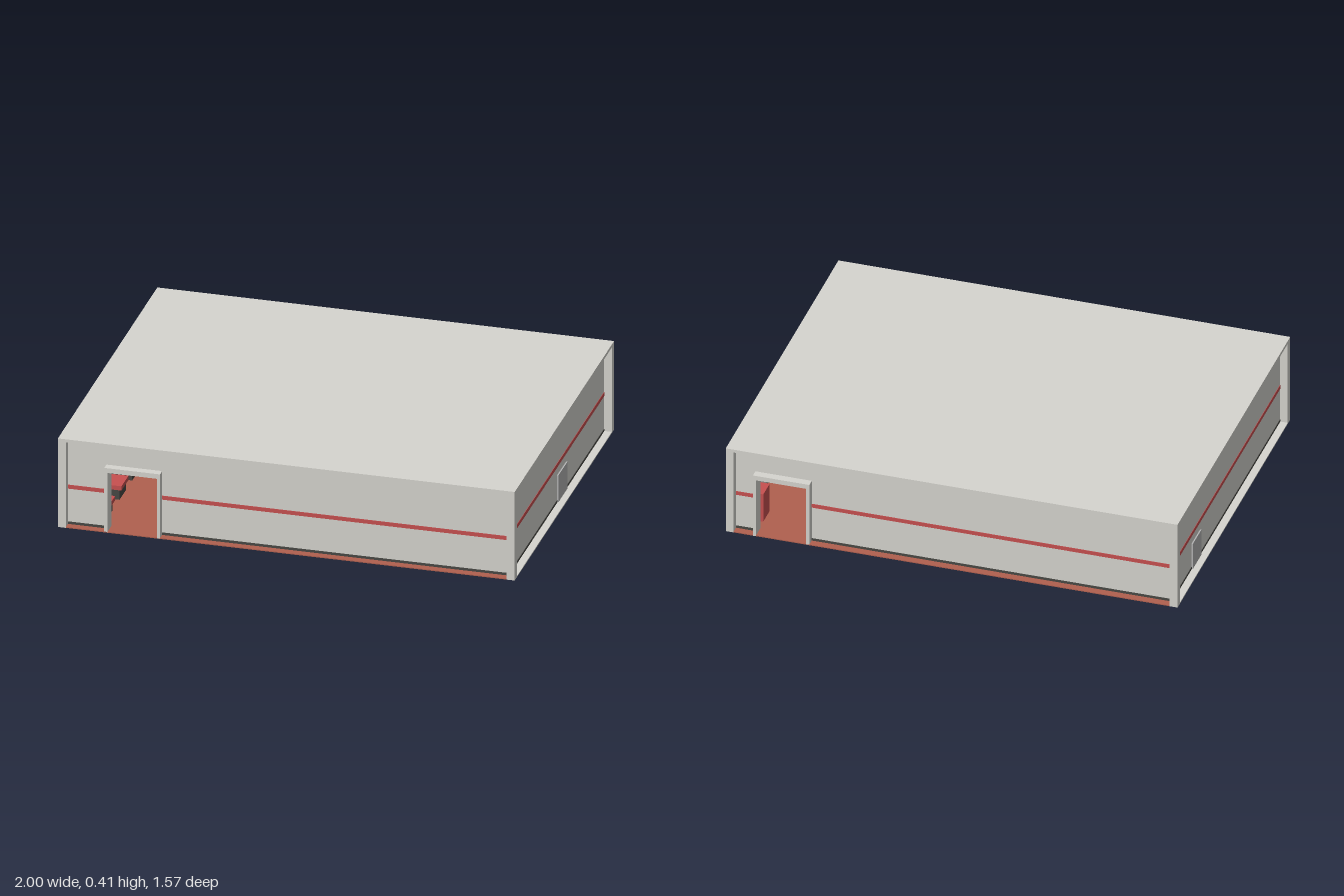
import * as THREE from 'three';

const mat = (color) => new THREE.MeshStandardMaterial({ color });

export function createModel() {
  const model = new THREE.Group();
  const wall = mat(0xd6d5cf), red = mat(0xc85050), dark = mat(0x484844);
  const grey = mat(0xb4b4b4), floorMat = mat(0xb0604f);

  // Box given by its lower and upper limits
  function box(name, m, x0, x1, y0, y1, z0, z1, parent = model) {
    const mesh = new THREE.Mesh(new THREE.BoxGeometry(x1 - x0, y1 - y0, z1 - z0), m);
    mesh.position.set((x0 + x1) / 2, (y0 + y1) / 2, (z0 + z1) / 2);
    mesh.name = name;
    parent.add(mesh);
    return mesh;
  }

  const H = 0.412, X = 1, Z = 0.783, T = 0.035;
  const xi = X - T, zi = Z - T; // recessed outer wall faces
  const e = 0.002, roofBase = H - 0.014;

  // Floor and roof slabs
  box('floor', floorMat, -xi, xi, 0, 0.004, -Z, Z);
  box('roof', wall, -X, X, roofBase, H, -Z, Z);

  // Corner posts and side sills
  for (const sx of [-1, 1]) {
    for (const sz of [-1, 1]) {
      const post = box('cornerPost', wall, -T / 2, T / 2, 0, roofBase, -T / 2, T / 2);
      post.position.x = sx * (X - T / 2);
      post.position.z = sz * (Z - T / 2);
    }
    const cx = sx * (X - T / 2);
    box('sideSill', wall, cx - T / 2, cx + T / 2, 0, 0.005, -zi, zi);
  }

  // Front and back walls, each with a doorway; the back is the front turned half round
  function doorWall(name, d0, d1) {
    const g = new THREE.Group();
    g.name = name;
    const doorTop = 0.285, in0 = zi - 0.02;
    for (const [a, b] of [[-xi, d0], [d1, xi]]) {
      box('wallPanel', wall, a, b, 0.004, roofBase, in0, zi, g);
      box('redStripe', red, a, b, 0.168, 0.186, in0 - e, zi + e, g);
      box('baseboard', dark, a, b, 0.004, 0.015, in0 - e, zi + e, g);
    }
    box('wallOverDoor', wall, d0, d1, doorTop, roofBase, in0, zi, g);
    // Door frame
    box('doorJamb', wall, d0 - 0.01, d0 + 0.004, 0, 0.3, in0 - 0.01, Z, g);
    box('doorJamb', wall, d1 - 0.004, d1 + 0.01, 0, 0.3, in0 - 0.01, Z, g);
    box('doorHead', wall, d0, d1, 0.278, 0.3, in0 - 0.01, Z, g);
    model.add(g);
    return g;
  }
  doorWall('frontWall', -0.787, -0.563);
  doorWall('backWall', -0.87, -0.64).rotation.y = Math.PI;

  // Side walls with stripe, baseboard and a small grey hatch
  for (const [s, h0, h1] of [[1, -0.155, -0.01], [-1, -0.48, -0.36]]) {
    const g = new THREE.Group();
    g.name = s > 0 ? 'leftWall' : 'rightWall';
    const span = (name, m, a, b, y0, y1, z0, z1) =>
      box(name, m, Math.min(s * a, s * b), Math.max(s * a, s * b), y0, y1, z0, z1, g);
    span('wallPanel', wall, xi - 0.02, xi, 0.004, roofBase, -zi, zi);
    span('redStripe', red, xi - 0.02 - e, xi + e, 0.168, 0.186, -zi, zi);
    span('baseboard', dark, xi - 0.02 - e, xi + e, 0.004, 0.015, -zi, zi);
    span('sideHatch', grey, xi - 0.03, xi + 0.006, 0.003, 0.13, h0, h1);
    model.add(g);
  }

  // Service counter with a red stripe and a screen on top
  box('counter', grey, -0.94, -0.13, 0.004, 0.138, -0.36, -0.31);
  box('counterStripe', red, -0.94, -0.13, 0.095, 0.112, -0.36 - e, -0.31 + e);
  box('counterScreen', dark, -0.69, -0.64, 0.138, 0.172, -0.35, -0.33);

  // Row of red seats on dark bases along the right wall
  for (const z of [0.02, 0.21, 0.41, 0.62]) {
    const seat = new THREE.Group();
    seat.name = 'seatUnit';
    box('seatBase', dark, -0.94, -0.82, 0.004, 0.05, z - 0.05, z + 0.05, seat);
    box('seatCushion', red, -0.94, -0.81, 0.05, 0.07, z - 0.055, z + 0.055, seat);
    box('seatBack', red, -0.943, -0.92, 0.07, 0.16, z - 0.055, z + 0.055, seat);
    model.add(seat);
  }

  // Red cabinet beside the back doorway
  box('cabinet', red, 0.87, 0.94, 0.004, 0.14, -0.67, -0.58);

  return model;
}
